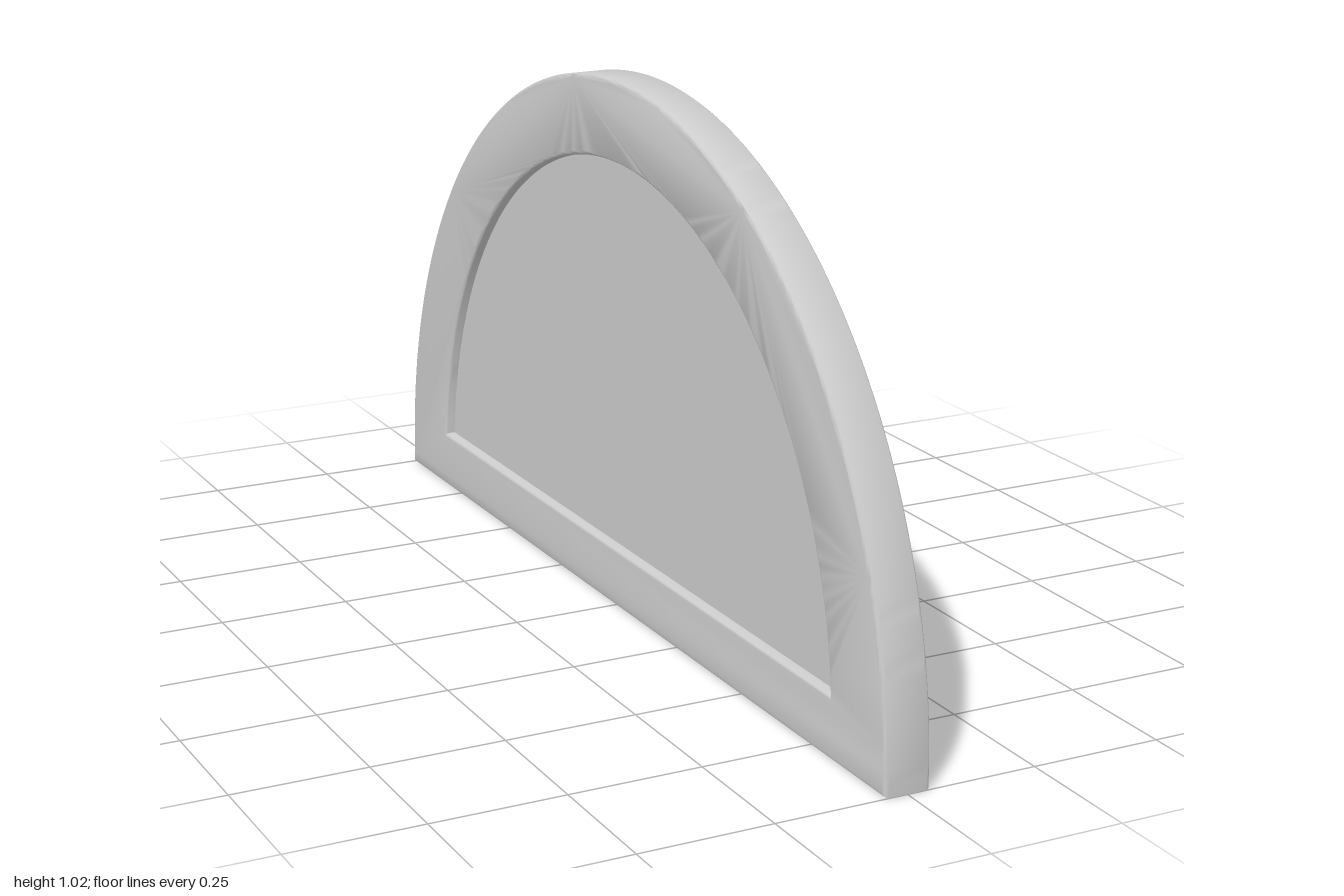
import * as THREE from 'three';
import { toCreasedNormals } from 'three/addons/utils/BufferGeometryUtils.js';

const THICKNESS = 0.088;
const BEVEL = 0.008;
const RECESS = 0.02;

// Arch outline: flat base, then an arc of the given radius about (0, centreY)
function arch(Type, radius, centreY, baseY, straight) {
  const path = new Type();
  const start = straight ? 0 : Math.asin((baseY - centreY) / radius);
  const halfBase = radius * Math.cos(start);
  path.moveTo(-halfBase, baseY);
  path.lineTo(halfBase, baseY);
  path.absarc(0, centreY, radius, start, Math.PI - start, false);
  path.closePath();
  return path;
}

// Extrude a shape, centre it on its thickness and turn its faces to +x and -x
function slab(shape, thickness, bevel) {
  const geometry = new THREE.ExtrudeGeometry(shape, {
    depth: thickness - 2 * bevel,
    curveSegments: 72,
    bevelEnabled: bevel > 0,
    bevelThickness: bevel,
    bevelSize: bevel,
    bevelOffset: -bevel,
    bevelSegments: 4,
  });
  geometry.translate(0, 0, bevel - thickness / 2);
  geometry.rotateY(Math.PI / 2);
  return toCreasedNormals(geometry, 0.6);
}

export function createModel() {
  const group = new THREE.Group();
  group.name = 'archedPanel';
  const grey = new THREE.MeshStandardMaterial({ name: 'lightGrey', color: 0xcccccc });

  // Raised border with softened edges
  const borderShape = arch(THREE.Shape, 1, 0.025, 0, true);
  borderShape.holes.push(arch(THREE.Path, 0.818, 0.053, 0.116, false));
  const border = new THREE.Mesh(slab(borderShape, THICKNESS, BEVEL), grey);
  border.name = 'border';
  group.add(border);

  // Inner panel, sunk on both sides and tucked slightly into the border
  const panelShape = arch(THREE.Shape, 0.83, 0.053, 0.104, false);
  const panel = new THREE.Mesh(slab(panelShape, THICKNESS - 2 * RECESS, 0), grey);
  panel.name = 'recessedPanel';
  group.add(panel);

  return group;
}
